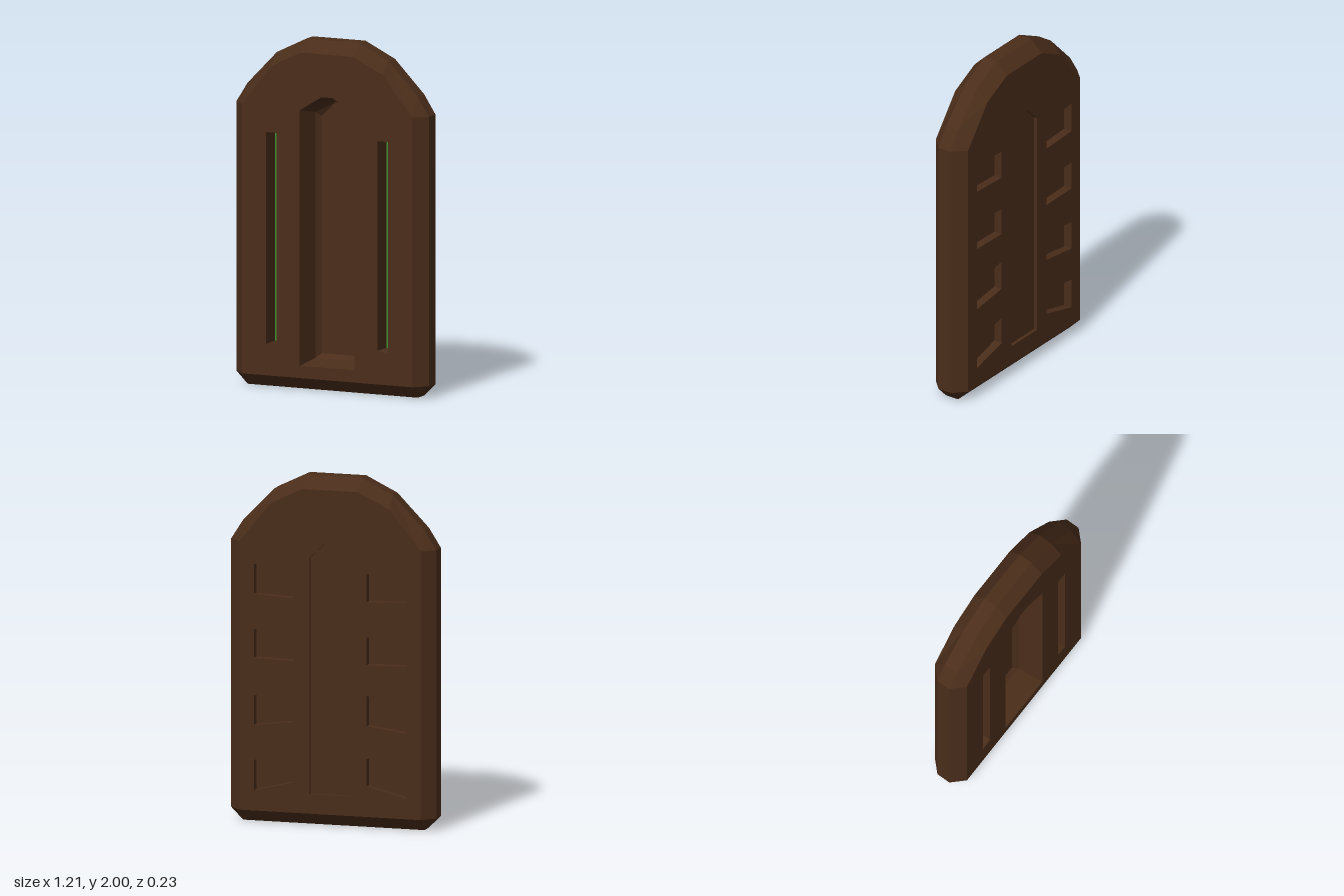
import * as THREE from 'three';

const wood = new THREE.MeshStandardMaterial({ color: 0x4a2d1a, flatShading: true });
const green = new THREE.MeshStandardMaterial({ color: 0x3f8f2d, flatShading: true });

const FACE = 0.113; // half thickness at the flat faces
const RIM = 0.042; // half thickness at the outer rim

// Mirrors a right-hand half outline (bottom to top) into a counter-clockwise loop
const mirror = (half) => [...half, ...half.map(([x, y]) => [-x, y]).reverse()];
const flipX = (loop) => loop.map(([x, y]) => [-x, y]).reverse();
const vectors = (loop) => loop.map(([x, y]) => new THREE.Vector2(x, y));

function add(parent, name, geometry, material = wood) {
  const mesh = new THREE.Mesh(geometry, material);
  mesh.name = name;
  parent.add(mesh);
  return mesh;
}

// Band of quads between two outlines; faces outward for counter-clockwise loops
function band(a, za, b, zb) {
  const pos = [];
  a.forEach((_, i) => {
    const j = (i + 1) % a.length;
    const A = [...a[i], za], B = [...b[i], zb], C = [...b[j], zb], D = [...a[j], za];
    pos.push(...A, ...B, ...C, ...A, ...C, ...D);
  });
  const g = new THREE.BufferGeometry();
  g.setAttribute('position', new THREE.Float32BufferAttribute(pos, 3));
  g.computeVertexNormals();
  return g;
}

// Flat panel with optional openings
function panel(loop, z, holes = []) {
  const shape = new THREE.Shape(vectors(loop));
  holes.forEach((h) => shape.holes.push(new THREE.Path(vectors(h))));
  return new THREE.ShapeGeometry(shape).translate(0, 0, z);
}

// Sunken pocket: walls through successive [loop, z] levels, closed by a floor
function pocket(parent, name, levels, floorMaterial = wood) {
  const group = new THREE.Group();
  group.name = name;
  for (let i = 0; i + 1 < levels.length; i++) {
    const [a, za] = levels[i], [b, zb] = levels[i + 1];
    add(group, 'pocketWall', band([...a].reverse(), za, [...b].reverse(), zb));
  }
  const [loop, z] = levels[levels.length - 1];
  add(group, 'pocketFloor', panel(loop, z), floorMaterial);
  parent.add(group);
}

export function createModel() {
  const model = new THREE.Group();
  model.name = 'archedSlab';

  // Outer rim and the inset face outline, point for point
  const outer = mirror([[0.535, 0], [0.605, 0.07], [0.605, 1.61], [0.535, 1.72], [0.35, 1.91], [0.165, 2]]);
  const inner = mirror([[0.535, 0.07], [0.535, 0.07], [0.535, 1.61], [0.535, 1.61], [0.35, 1.84], [0.165, 1.93]]);
  const faceLoop = inner.filter((p, i) => {
    const q = inner[(i + 1) % inner.length];
    return p[0] !== q[0] || p[1] !== q[1];
  });
  add(model, 'rim', band(outer, RIM, outer, -RIM));

  const front = new THREE.Group();
  front.name = 'frontSide';
  const back = new THREE.Group();
  back.name = 'backSide';
  back.rotation.y = Math.PI;
  model.add(front, back);

  // Front: deep arched niche and two narrow green slots
  const niche = mirror([[0.172, 0.14], [0.172, 1.6], [0.035, 1.685]]);
  const nicheMid = mirror([[0.148, 0.165], [0.148, 1.57], [0.035, 1.655]]);
  const nicheFloor = mirror([[0.122, 0.19], [0.122, 1.545], [0.035, 1.63]]);
  const slot = [[0.318, 0.263], [0.383, 0.25], [0.383, 1.46], [0.318, 1.46]];
  const slots = [slot, flipX(slot)];
  pocket(front, 'niche', [[niche, FACE], [nicheMid, -0.037], [nicheFloor, -0.065]]);
  slots.forEach((s) => pocket(front, 'slot', [[s, FACE], [s, 0]], green));

  // Back: shallow arched panel and two columns of slightly fanned windows
  const backPanel = mirror([[0.122, 0.183], [0.122, 1.535], [0.035, 1.62]]);
  pocket(back, 'backPanel', [[backPanel, FACE], [backPanel, FACE - 0.02]]);
  // Each row: inner bottom, outer bottom, outer top, inner top
  const rows = [
    [0.245, 0.185, 0.36, 0.405],
    [0.59, 0.56, 0.73, 0.764],
    [0.94, 0.945, 1.11, 1.1],
    [1.3, 1.31, 1.485, 1.465],
  ];
  const windows = rows.flatMap(([a, b, c, d]) => {
    const w = [[0.215, a], [0.45, b], [0.45, c], [0.215, d]];
    return [w, flipX(w)];
  });
  windows.forEach((w) => pocket(back, 'window', [[w, FACE], [w, FACE - 0.05]]));

  // Faces and the chamfers that join them to the rim
  for (const [side, holes] of [[front, [niche, ...slots]], [back, [backPanel, ...windows]]]) {
    add(side, 'face', panel(faceLoop, FACE, holes));
    add(side, 'chamfer', band(inner, FACE, outer, RIM));
  }
  return model;
}
